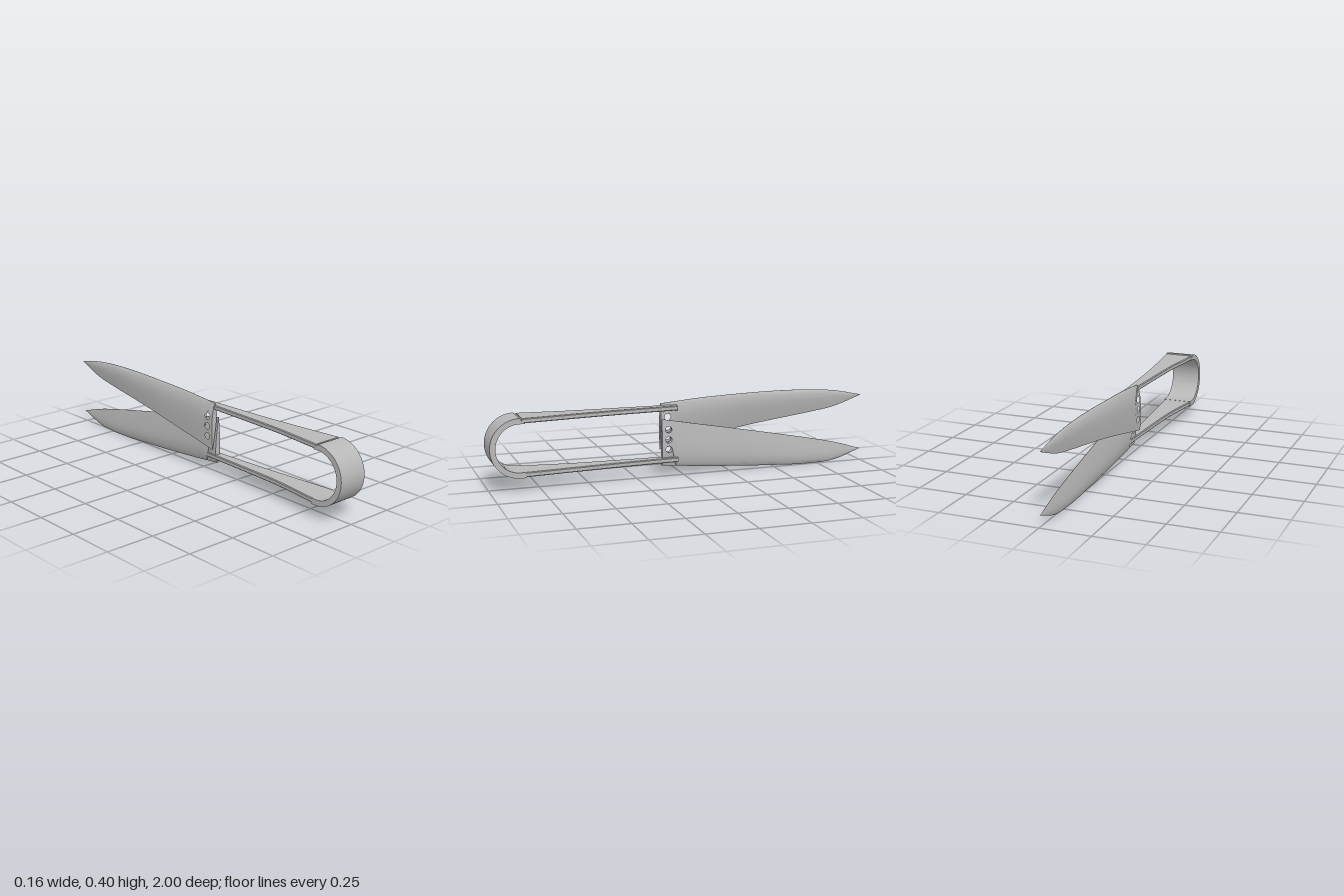
import * as THREE from 'three';
import { toCreasedNormals } from 'three/addons/utils/BufferGeometryUtils.js';

const steel = new THREE.MeshStandardMaterial({ color: 0xb8b8b8 });
steel.name = 'steel';

// Smooth curve through samples
const curve = (ts, vs) => {
  const c = new THREE.CubicInterpolant(ts, vs, 1);
  return (t) => c.evaluate(t)[0];
};

// Closed skin over rings that run from +z to -z, each counter-clockwise seen from +z
function loft(rings) {
  const n = rings[0].length, last = (rings.length - 1) * n, index = [];
  for (let i = 0; i < rings.length - 1; i++) {
    for (let j = 0; j < n; j++) {
      const a = i * n + j, b = i * n + (j + 1) % n;
      index.push(a, a + n, b, b, a + n, b + n);
    }
  }
  for (let j = 1; j < n - 1; j++) index.push(0, j, j + 1, last, last + j + 1, last + j);
  const g = new THREE.BufferGeometry();
  g.setAttribute('position', new THREE.Float32BufferAttribute(rings.flat(2), 3));
  g.setIndex(index);
  return g;
}

function mesh(name, geometry, crease = 0.6) {
  const m = new THREE.Mesh(toCreasedNormals(geometry, crease), steel);
  m.name = name;
  return m;
}

// Lens section of a blade: v runs from spine (0) to cutting edge (1)
const V = [0, 0.02, 0.06, 0.14, 0.22, 0.3, 0.42, 0.55, 0.7, 0.85, 1];
const lens = curve(V, [0.04, 0.25, 0.5, 0.76, 0.92, 1, 0.96, 0.82, 0.6, 0.34, 0.05]);
const T = [-0.12, 0.1, 0.3, 0.5, 0.7, 0.85, 1]; // t = -z
const thickness = curve(T, [0.015, 0.016, 0.016, 0.015, 0.0125, 0.008, 0.0008]);
const JOIN = -0.04, BACK = -0.115;

function blade(name, o) {
  const group = new THREE.Group();
  group.name = name;
  const spine = curve(T, o.spine), edge = curve(T, o.edge);
  const centre = (t, v) => {
    const k = THREE.MathUtils.clamp((t - 0.3) / 0.7, 0, 1);
    return THREE.MathUtils.lerp(o.spineX + (o.edgeX - o.spineX) * v, o.tipX, k);
  };
  const yAt = (t, v) => THREE.MathUtils.lerp(spine(t), edge(t), v);

  // Tapering body
  const rings = [];
  for (let i = 0; i <= 36; i++) {
    const t = JOIN + (1 - JOIN) * i / 36;
    const side = (s) => V.map((v) => [centre(t, v) + s * thickness(t) * lens(v), yAt(t, v), -t]);
    rings.push([...side(o.turn), ...side(-o.turn).reverse()]);
  }
  group.add(mesh(name + 'Body', loft(rings)));

  // Back plate with three round holes
  const outline = [
    ...V.map((v) => new THREE.Vector2(JOIN, yAt(JOIN, v))),
    ...[...V].reverse().map((v) => new THREE.Vector2(BACK, yAt(BACK, v))),
  ];
  const shape = new THREE.Shape(outline);
  for (const y of o.holes) {
    shape.holes.push(new THREE.Path().absarc(-0.08, y, 0.017, 0, Math.PI * 2, true));
  }
  const plate = new THREE.ExtrudeGeometry(shape, { depth: 1, bevelEnabled: false, curveSegments: 10 });
  const p = plate.attributes.position;
  for (let i = 0; i < p.count; i++) {
    const t = p.getX(i), y = p.getY(i);
    const v = THREE.MathUtils.clamp((y - spine(t)) / (edge(t) - spine(t)), 0, 1);
    const w = (p.getZ(i) * 2 - 1) * thickness(t) * lens(v);
    p.setXYZ(i, centre(t, v) + w, y, -t);
  }
  group.add(mesh(name + 'Plate', plate));
  return group;
}

// Flat spring arm, flaring toward the bow, with softened edges
function arm(name, y, shift) {
  const ts = [-0.84, -0.7, -0.6, -0.4, -0.2, -0.035];
  const left = curve(ts, [-0.077, -0.062, -0.051, -0.041, -0.034, -0.028]);
  const right = curve(ts, [0.077, 0.062, 0.051, 0.033, 0.021, 0.013]);
  const h = 0.012, c = 0.004, rings = [];
  for (let i = 0; i <= 20; i++) {
    const t = -0.84 + 0.805 * i / 20, s = shift * Math.min(1, i / 8);
    const l = left(t) + s, r = right(t) + s;
    rings.push([
      [l + c, y - h, -t], [r - c, y - h, -t], [r, y - h + c, -t], [r, y + h - c, -t],
      [r - c, y + h, -t], [l + c, y + h, -t], [l, y + h - c, -t], [l, y - h + c, -t],
    ]);
  }
  return mesh(name, loft(rings));
}

export function createModel() {
  const model = new THREE.Group();
  model.name = 'springShears';

  // Rounded bow at the front
  const cy = 0.217, cz = -0.853, R = 0.147, r = 0.119, end = -0.825;
  const u = new THREE.Shape();
  u.moveTo(end, cy + R);
  u.absarc(cz, cy, R, Math.PI / 2, Math.PI * 1.5, false);
  u.lineTo(end, cy - R);
  u.lineTo(end, cy - r);
  u.absarc(cz, cy, r, Math.PI * 1.5, Math.PI / 2, true);
  u.lineTo(end, cy + r);
  const bow = new THREE.ExtrudeGeometry(u, { depth: 0.156, bevelEnabled: false, curveSegments: 40 });
  bow.translate(0, 0, -0.078).rotateY(Math.PI / 2);
  model.add(mesh('bow', bow));

  model.add(arm('upperArm', 0.35, 0), arm('lowerArm', 0.085, 0.007));

  model.add(
    blade('upperBlade', {
      spine: [0.372, 0.389, 0.397, 0.401, 0.397, 0.384, 0.354],
      edge: [0.13, 0.175, 0.215, 0.246, 0.274, 0.3, 0.352],
      holes: [0.302, 0.25, 0.198],
      spineX: -0.026, edgeX: -0.044, tipX: -0.014, turn: -1,
    }),
    blade('lowerBlade', {
      spine: [0.055, 0.035, 0.02, 0.008, 0.001, 0.011, 0.06],
      edge: [0.296, 0.255, 0.218, 0.18, 0.14, 0.107, 0.062],
      holes: [0.24, 0.188, 0.139],
      spineX: -0.01, edgeX: -0.003, tipX: -0.008, turn: 1,
    }),
  );
  return model;
}
